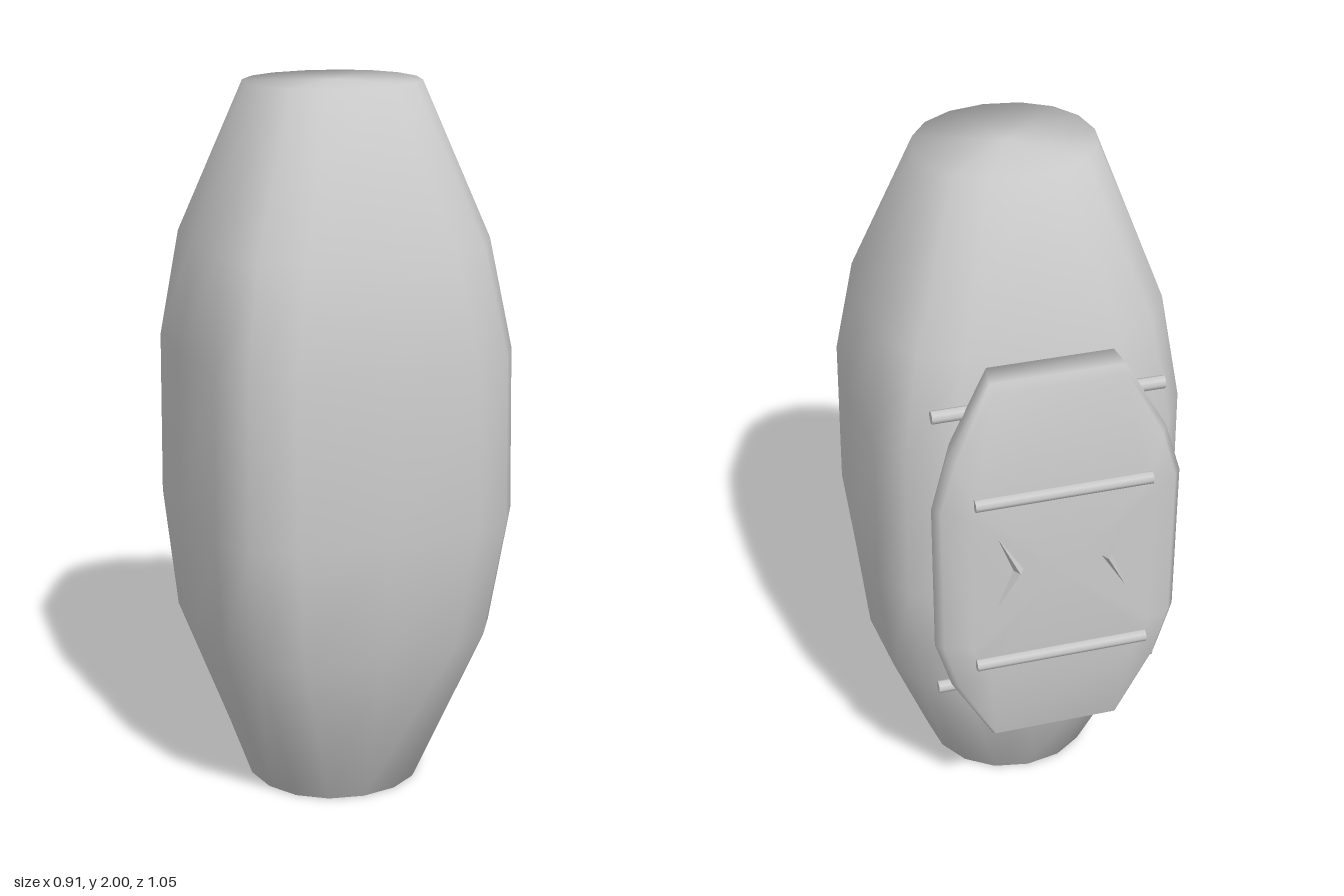
import * as THREE from 'three';

const grey = new THREE.MeshStandardMaterial({ color: 0xcccccc });
const facet = new THREE.MeshStandardMaterial({ color: 0xcccccc, flatShading: true });

function add(group, name, geometry, material = grey) {
  const mesh = new THREE.Mesh(geometry, material);
  mesh.name = name;
  group.add(mesh);
  return mesh;
}

// Skin a list of closed rings (arrays of [x, y, z]) and close both ends
function loft(rings) {
  const n = rings[0].length, last = rings.length - 1;
  const centre = (ring) => [0, 1, 2].map((k) => ring.reduce((s, p) => s + p[k], 0) / n);
  const points = [...rings.flat(), centre(rings[0]), centre(rings[last])];
  const start = rings.length * n, end = start + 1;
  const index = [];
  for (let j = 0; j < n; j++) {
    const k = (j + 1) % n;
    for (let i = 0; i < last; i++) {
      const a = i * n + j, b = i * n + k;
      index.push(a, a + n, b, b, a + n, b + n);
    }
    index.push(start, j, k, end, last * n + k, last * n + j);
  }
  const g = new THREE.BufferGeometry();
  g.setAttribute('position', new THREE.Float32BufferAttribute(points.flat(), 3));
  g.setIndex(index);
  g.computeVertexNormals();
  return g;
}

// Rounded-square section at height y; power sets how square it is
function bodyRing([y, hx, front, back, power]) {
  const ring = [], sides = 16;
  const bulge = (v) => Math.sign(v) * Math.abs(v) ** (2 / power);
  for (let j = 0; j < sides; j++) {
    const t = (j / sides) * Math.PI * 2;
    ring.push([hx * bulge(Math.cos(t)), y,
      (front + back) / 2 + ((front - back) / 2) * bulge(Math.sin(t))]);
  }
  return ring;
}

// Chamfered plate outline at depth z: end half width, side half width, shoulder and end heights
function packRing([z, endW, sideW, shoulder, endH]) {
  const midW = endW + (sideW - endW) * 0.72, midH = shoulder + (endH - shoulder) * 0.42;
  const quarter = [[sideW, shoulder], [midW, midH], [endW, endH]];
  const right = [...quarter.map(([x, y]) => [x, -y]).reverse(), ...quarter];
  const left = right.map(([x, y]) => [-x, -y]);
  return [...right, ...left].map(([x, y]) => [x, y + 1.005, z]);
}

function rod(group, name, y, z, halfLength, radius) {
  const mesh = add(group, name, new THREE.CylinderGeometry(radius, radius, halfLength * 2, 8));
  mesh.rotation.z = Math.PI / 2;
  mesh.position.set(0, y, z);
}

// Raised arrow-shaped ridge pointing to the middle of the pack
function chevron(side) {
  const base = -0.497;
  const rim = [[0.195, 1.19], [0.105, 1.04], [0.195, 0.89], [0.14, 1.04]]
    .map(([x, y]) => [x * side, y, base]);
  if (side < 0) rim.reverse();
  const peak = [0.122 * side, 1.04, -0.525];
  const tris = rim.flatMap((p, i) => [p, peak, rim[(i + 1) % 4]]);
  // wind every facet so it faces away from the pack
  for (let i = 0; i < tris.length; i += 3) {
    const [a, b, c] = tris.slice(i, i + 3);
    const nz = (b[0] - a[0]) * (c[1] - a[1]) - (b[1] - a[1]) * (c[0] - a[0]);
    if (nz > 0) [tris[i + 1], tris[i + 2]] = [c, b];
  }
  const g = new THREE.BufferGeometry();
  g.setAttribute('position', new THREE.Float32BufferAttribute(tris.flat(), 3));
  g.computeVertexNormals();
  return g;
}

export function createModel() {
  const model = new THREE.Group();
  model.name = 'bodyWithBackpack';

  // Barrel-shaped body: y, half width, front z, back z, squareness
  add(model, 'body', loft([
    [0, 0.25, 0.33, -0.18, 2.1],
    [0.47, 0.42, 0.475, -0.335, 3],
    [0.82, 0.455, 0.525, -0.347, 3.4],
    [1.28, 0.45, 0.512, -0.347, 3.4],
    [1.58, 0.405, 0.455, -0.31, 2.9],
    [2, 0.245, 0.29, -0.15, 2.1],
  ].map(bodyRing)));

  // Pack on the back
  const pack = new THREE.Group();
  pack.name = 'backpack';
  model.add(pack);
  add(pack, 'packShell', loft([
    [-0.342, 0.15, 0.26, 0.2, 0.46],
    [-0.365, 0.17, 0.31, 0.22, 0.592],
    [-0.44, 0.18, 0.34, 0.23, 0.592],
    [-0.465, 0.175, 0.32, 0.23, 0.575],
    [-0.503, 0.2, 0.25, 0.22, 0.31],
  ].map(packRing)));

  // Rods across the pack face, and the strap rods holding it to the body
  for (const y of [0.735, 1.275]) rod(pack, 'faceRod', y, -0.507, 0.24, 0.017);
  for (const y of [0.545, 1.465]) rod(pack, 'strapRod', y, -0.357, 0.315, 0.018);

  for (const side of [1, -1]) add(pack, 'chevron', chevron(side), facet);
  return model;
}
